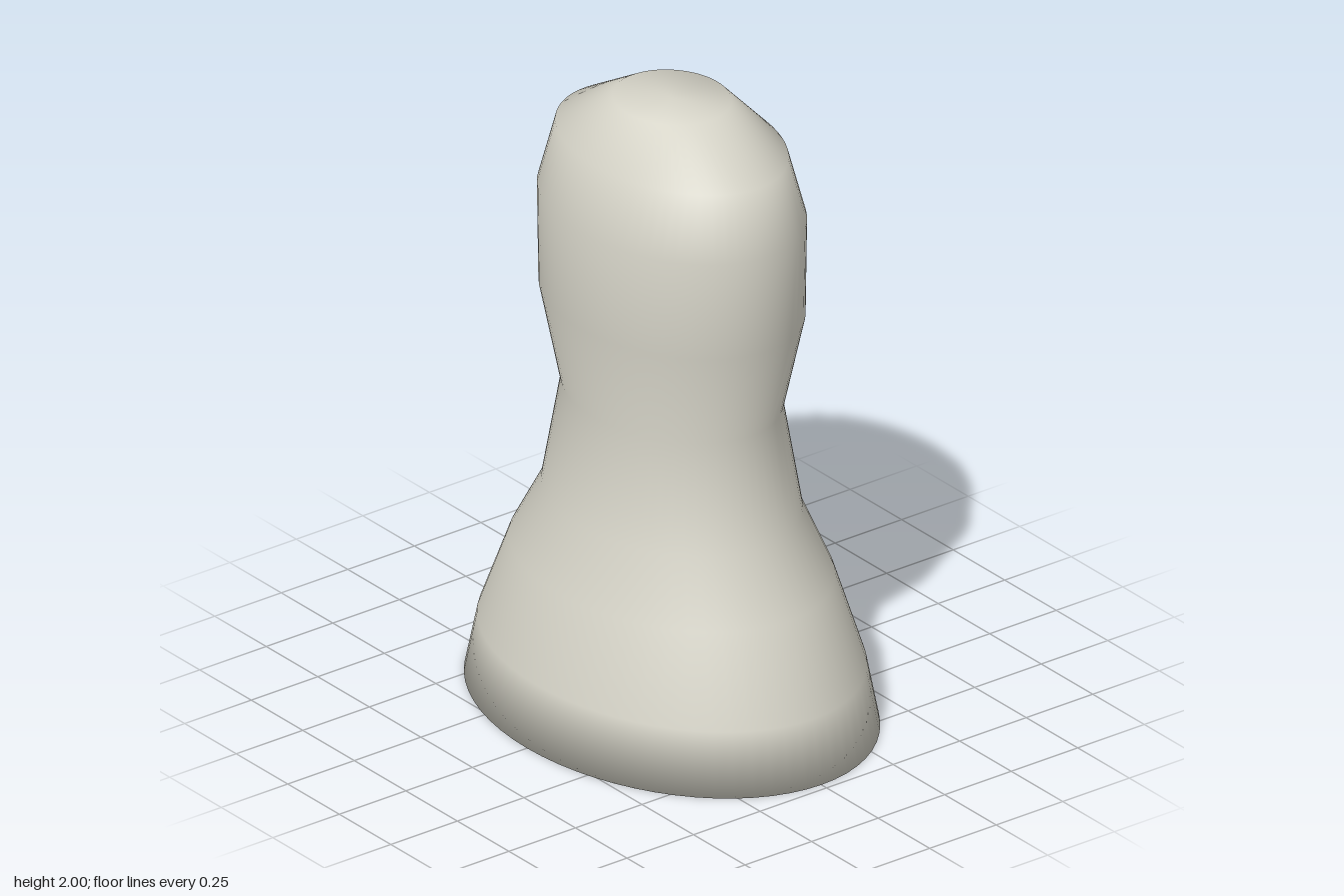
import * as THREE from 'three';

// Elliptical cross-sections from base to crown: [y, half width in x, half depth in z]
const SECTIONS = [
  [0, 0.725, 0.545],
  [0.2, 0.68, 0.51],
  [0.48, 0.565, 0.43],
  [0.68, 0.45, 0.35],
  [1.025, 0.385, 0.295],
  [1.34, 0.465, 0.35],
  [1.66, 0.475, 0.35],
  [1.865, 0.42, 0.295],
  [2, 0.19, 0.17],
];
const SIDES = 64;

// Closed skin through the sections, with shared vertices so it shades smoothly
function loft(sections) {
  const positions = [];
  const index = [];
  for (const [y, rx, rz] of sections) {
    for (let i = 0; i < SIDES; i++) {
      const a = (i / SIDES) * Math.PI * 2;
      positions.push(Math.sin(a) * rx, y, Math.cos(a) * rz);
    }
  }
  // Side walls
  for (let r = 0; r < sections.length - 1; r++) {
    for (let i = 0; i < SIDES; i++) {
      const j = (i + 1) % SIDES;
      const a = r * SIDES + i, b = r * SIDES + j;
      index.push(a, b, b + SIDES, a, b + SIDES, a + SIDES);
    }
  }
  // Flat caps, fanned from a centre point
  const bottom = positions.length / 3;
  const top = bottom + 1;
  const last = (sections.length - 1) * SIDES;
  positions.push(0, sections[0][0], 0, 0, sections[sections.length - 1][0], 0);
  for (let i = 0; i < SIDES; i++) {
    const j = (i + 1) % SIDES;
    index.push(bottom, j, i, top, last + i, last + j);
  }
  const geometry = new THREE.BufferGeometry();
  geometry.setAttribute('position', new THREE.Float32BufferAttribute(positions, 3));
  geometry.setIndex(index);
  geometry.computeVertexNormals();
  return geometry;
}

export function createModel() {
  const group = new THREE.Group();
  group.name = 'roundedPiece';
  const ivory = new THREE.MeshStandardMaterial({ color: 0xd6d4c8 });
  ivory.name = 'warm ivory';
  const body = new THREE.Mesh(loft(SECTIONS), ivory);
  body.name = 'body';
  group.add(body);
  return group;
}
